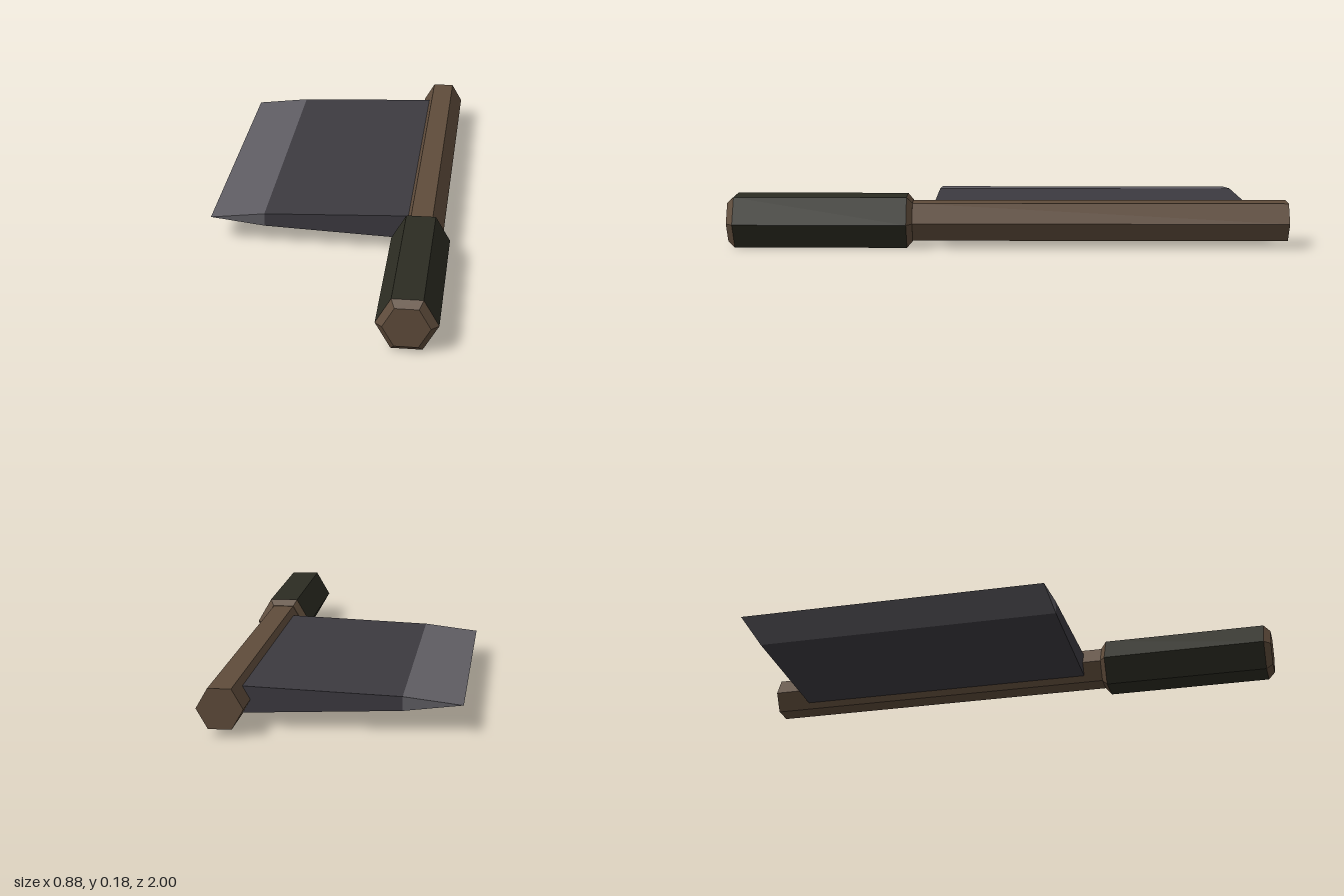
import * as THREE from 'three';

const mat = (name, color) => {
  const m = new THREE.MeshStandardMaterial({ color, flatShading: true });
  m.name = name;
  return m;
};

export function createModel() {
  const wood = mat('brown wood', 0x5f4c3b);
  const wrap = mat('dark olive wrap', 0x2c2c22);
  const steel = mat('dark steel', 0x3c3a40);
  const ground = mat('ground edge steel', 0x605e64);

  const model = new THREE.Group();
  model.name = 'cleaver';
  const cx = 0.337, cy = 0.092; // shaft axis

  // Hexagonal section along z, corners pointing to the sides
  const hex = (name, z0, z1, r0, r1, material, open = false) => {
    const g = new THREE.CylinderGeometry(r1, r0, z1 - z0, 6, 1, open, Math.PI / 2);
    g.rotateX(Math.PI / 2);
    const mesh = new THREE.Mesh(g, material);
    mesh.name = name;
    mesh.position.set(cx, cy, (z0 + z1) / 2);
    model.add(mesh);
  };

  // Spine rod and handle
  hex('spineRod', -1, 0.345, 0.078, 0.078, wood);
  hex('handleCollar', 0.34, 0.36, 0.08, 0.105, wood);
  hex('handleGrip', 0.36, 0.975, 0.105, 0.105, wrap, true);
  hex('handlePommel', 0.975, 1, 0.105, 0.08, wood);

  // Blade parts: cross-sections swept along z
  const blade = (name, points, material) => {
    const shape = new THREE.Shape(points.map(([x, y]) => new THREE.Vector2(x, cy + y)));
    const g = new THREE.ExtrudeGeometry(shape, { depth: 1.14, bevelEnabled: false });
    const mesh = new THREE.Mesh(g, material);
    mesh.name = name;
    mesh.position.z = -0.87;
    model.add(mesh);
  };
  blade('bladeBody', [[-0.243, -0.024], [0.3, -0.046], [0.3, 0.046], [-0.243, 0.024]], steel);
  blade('bladeCuttingEdge', [[-0.442, 0], [-0.243, -0.024], [-0.243, 0.024]], ground);

  return model;
}
